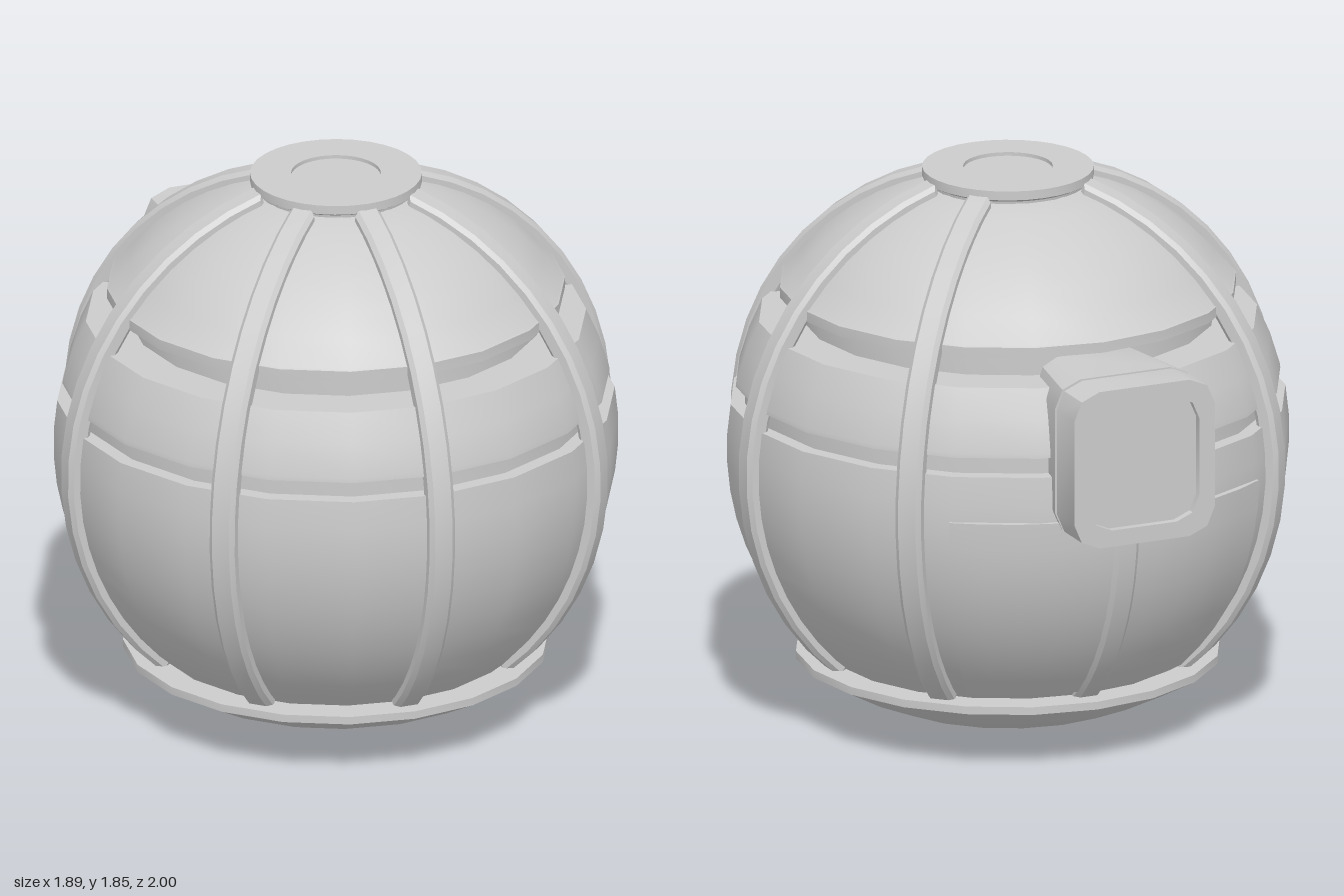
import * as THREE from 'three';
import { toCreasedNormals } from 'three/addons/utils/BufferGeometryUtils.js';

const CY = 0.92; // height of the sphere centre
const SIDES = 20;

export function createModel() {
  const model = new THREE.Group();
  const body = new THREE.Group();
  body.name = 'sphereBody';
  body.position.z = 0.055;
  model.add(body);

  const grey = new THREE.MeshStandardMaterial({ color: 0xcccccc, side: THREE.DoubleSide });
  const add = (name, geometry, parent = body) => {
    const mesh = new THREE.Mesh(toCreasedNormals(geometry, 0.5), grey);
    mesh.name = name;
    parent.add(mesh);
    return mesh;
  };
  const v = (x, y) => new THREE.Vector2(x, y);
  const lathe = (name, pts) => add(name, new THREE.LatheGeometry(pts, SIDES));

  // Points on a circle of radius r about the sphere centre, between two angles
  const arc = (r, a0, a1, n) => Array.from({ length: n + 1 }, (_, i) => {
    const a = a0 + (a1 - a0) * i / n;
    return v(r * Math.cos(a), CY + r * Math.sin(a));
  });
  const angleAt = (r, y) => Math.asin((y - CY) / r);

  // Shallow dish underneath
  lathe('base', [v(0, 0), v(0.14, 0.008), v(0.28, 0.03), v(0.42, 0.07), v(0.56, 0.13),
    v(0.69, 0.2), v(0.69, 0.226), v(0, 0.226)]);

  // Stacked shells of the sphere, with grooves between them
  lathe('lowerShell', [v(0, 0.2), ...arc(0.915, angleAt(0.915, 0.2), angleAt(0.915, 1.07), 10), v(0.8, 1.07)]);
  lathe('lowerGroove', [v(0.855, 1.05), v(0.855, 1.15)]);
  lathe('middleBand', [v(0.8, 1.13), v(0.886, 1.13), v(0.884, 1.145), v(0.852, 1.25), v(0.81, 1.345), v(0.6, 1.345)]);
  lathe('upperGroove', [v(0.67, 1.33), v(0.67, 1.44)]);
  lathe('upperDome', [v(0.6, 1.425), v(0.742, 1.425), v(0.742, 1.46),
    ...arc(0.915, angleAt(0.915, 1.465), angleAt(0.915, 1.8), 6), v(0, 1.81)]);

  // Round cap with a shallow dimple
  add('topCap', new THREE.LatheGeometry([v(0.255, 1.77), v(0.26, 1.805), v(0.278, 1.815), v(0.278, 1.845),
    v(0.145, 1.845), v(0.145, 1.833), v(0, 1.833)], 32));

  // Curved ribs with chamfered edges
  const ribGeometry = (inner, outer, y0, y1) => {
    const a0 = angleAt(outer, y0), a1 = angleAt(outer, y1);
    const shape = new THREE.Shape([...arc(outer, a0, a1, 16), ...arc(inner, a1, a0, 16)]);
    const g = new THREE.ExtrudeGeometry(shape, { depth: 0.06, bevelThickness: 0.014,
      bevelSize: 0.014, bevelOffset: -0.014, bevelSegments: 1 });
    return g.translate(0, 0, -0.03);
  };
  const rib = ribGeometry(0.882, 0.945, 0.2, 1.825);
  for (let k = 0; k < 8; k++) {
    if (k === 2) continue; // the rear rib is the short one
    add('rib', rib).rotation.y = k * Math.PI / 4;
  }
  add('rearRib', ribGeometry(0.86, 0.934, 0.2, 0.95)).rotation.y = Math.PI / 2;

  // Raised plate low on the back, closed at both ends
  const plate = [v(0.6, 0.25), ...arc(0.924, angleAt(0.924, 0.25), 0, 8), v(0.85, 0.92)];
  const spread = 0.64;
  add('rearPlate', new THREE.LatheGeometry(plate, 10, Math.PI - spread, 2 * spread));
  const plateEnd = new THREE.ShapeGeometry(new THREE.Shape(plate));
  for (const s of [-1, 1]) add('rearPlateEnd', plateEnd).rotation.y = Math.PI / 2 + s * spread;

  // Port housing on the back
  const port = new THREE.Group();
  port.name = 'rearPort';
  port.position.y = 1.137;
  model.add(port);
  const outline = (w, h, c, Type = THREE.Shape) => {
    const k = c * 0.3;
    const quarter = [v(w, h - c), v(w - k, h - k), v(w - c, h)];
    const mirror = (sx, sy) => quarter.map(p => v(p.x * sx, p.y * sy));
    return new Type([...quarter, ...mirror(-1, 1).reverse(), ...mirror(-1, -1), ...mirror(1, -1).reverse()]);
  };
  const slab = (shape, z0, z1) =>
    new THREE.ExtrudeGeometry(shape, { depth: z1 - z0, bevelEnabled: false }).translate(0, 0, z0);

  const frame = outline(0.25, 0.265, 0.09);
  frame.holes.push(outline(0.195, 0.21, 0.08, THREE.Path));
  add('portFrame', slab(frame, -1, -0.865), port);
  add('portPlate', slab(outline(0.2, 0.215, 0.08), -0.975, -0.9), port);
  add('portGroove', slab(outline(0.238, 0.255, 0.085), -0.9, -0.84), port);

  // Neck narrows towards the sphere
  const neck = slab(outline(0.25, 0.265, 0.09), -0.85, -0.6);
  const pos = neck.attributes.position;
  for (let i = 0; i < pos.count; i++) if (pos.getZ(i) > -0.7) pos.setX(i, pos.getX(i) * 0.8);
  add('portNeck', neck, port);

  return model;
}
